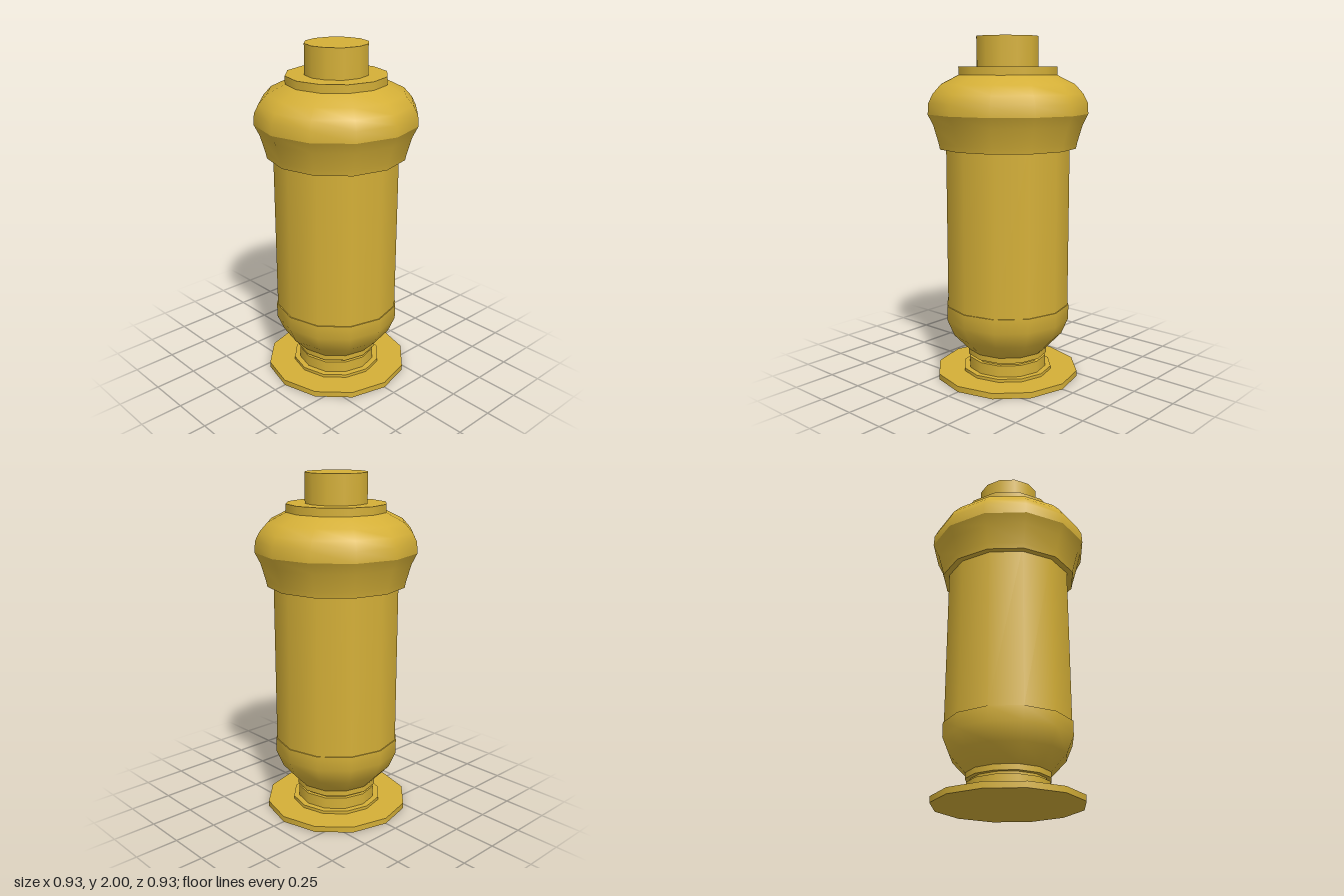
import * as THREE from 'three';

const SIDES = 12;

export function createModel() {
  const group = new THREE.Group();
  const brass = new THREE.MeshStandardMaterial({ color: 0xd4af37 });

  // Straight round part between two heights
  const drum = (name, radius, bottom, top) => {
    const mesh = new THREE.Mesh(
      new THREE.CylinderGeometry(radius, radius, top - bottom, SIDES), brass);
    mesh.position.y = (bottom + top) / 2;
    mesh.name = name;
    group.add(mesh);
  };

  // Turned part made of smooth bands, with a hard edge between bands
  const turned = (name, bands) => {
    const part = new THREE.Group();
    part.name = name;
    bands.forEach((band, i) => {
      const points = band.map(([r, y]) => new THREE.Vector2(r, y));
      const mesh = new THREE.Mesh(new THREE.LatheGeometry(points, SIDES), brass);
      mesh.name = `${name}Band${i + 1}`;
      part.add(mesh);
    });
    group.add(part);
  };

  // Foot and neck
  drum('footPlate', 0.425, 0, 0.034);
  drum('footStep', 0.267, 0.034, 0.052);
  drum('lowerNeck', 0.233, 0.052, 0.12);
  drum('neckGroove', 0.212, 0.12, 0.138);
  drum('upperNeck', 0.24, 0.138, 0.17);

  // Rounded cup holding the body
  turned('cup', [
    [[0, 0.17], [0.24, 0.17]],
    [[0.24, 0.17], [0.33, 0.265], [0.37, 0.36], [0.37, 0.444]],
    [[0.37, 0.444], [0.3, 0.444]],
  ]);

  // Main body
  drum('body', 0.364, 0.44, 1.4);

  // Flared shoulder with a domed top
  turned('shoulder', [
    [[0.3, 1.37], [0.4, 1.37]],
    [[0.4, 1.37], [0.407, 1.405], [0.436, 1.505], [0.467, 1.567]],
    [[0.467, 1.567], [0.463, 1.63], [0.438, 1.68], [0.39, 1.733], [0.288, 1.784]],
  ]);

  // Collar and top stem
  drum('collar', 0.288, 1.78, 1.83);
  drum('stem', 0.18, 1.83, 2);

  return group;
}
